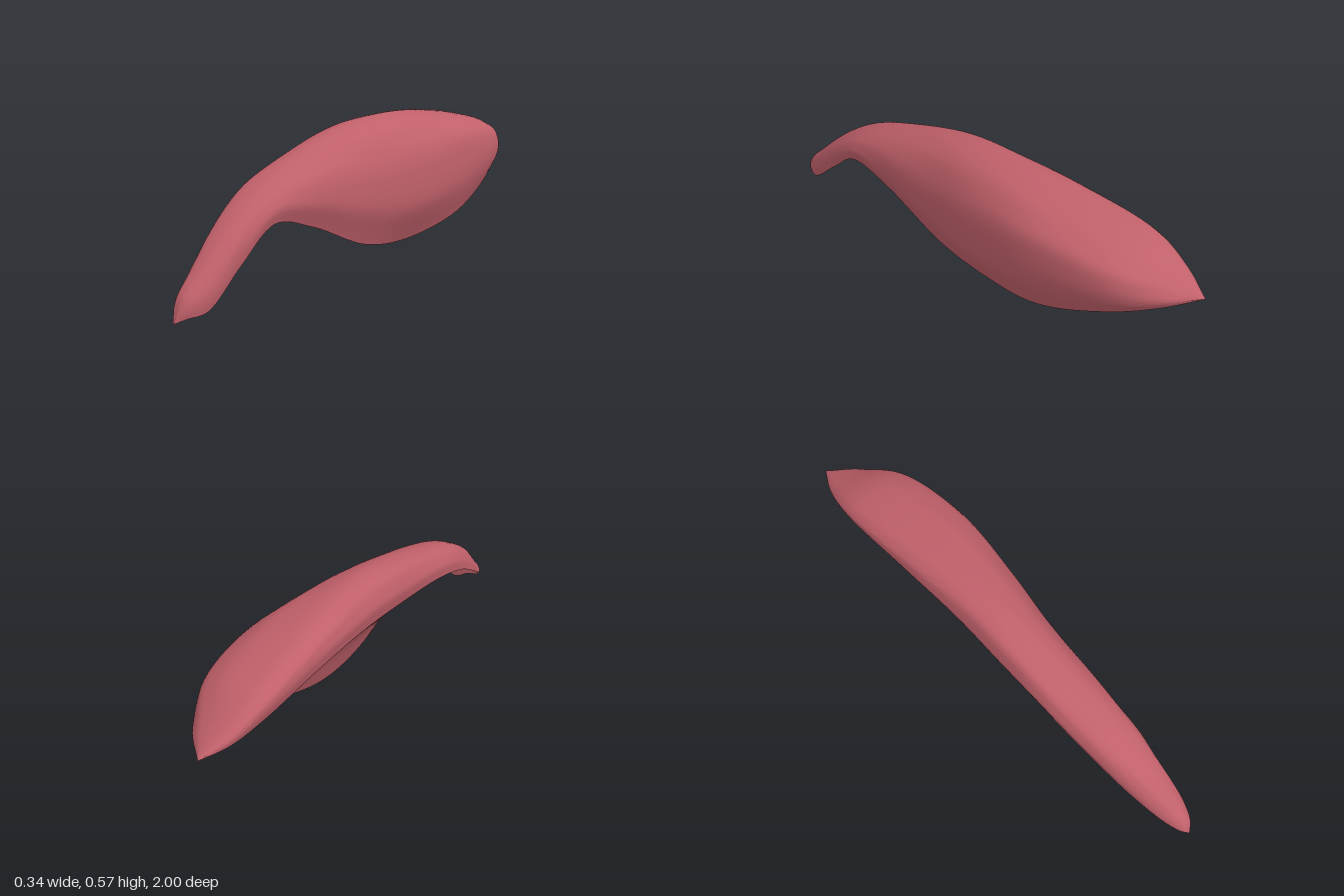
import * as THREE from 'three';
import { toCreasedNormals } from 'three/addons/utils/BufferGeometryUtils.js';

// Cross-sections from front to back: z, then x,y of inner edge, inner wall,
// crest, shoulder, upper flank, lower flank, lower edge
const SECTIONS = [
  [0.9, -0.055, 0.09, -0.046, 0.12, -0.02, 0.148, 0.02, 0.145, 0.052, 0.11, 0.06, 0.07, 0.055, 0.03],
  [0.75, -0.095, 0.19, -0.09, 0.235, -0.055, 0.285, 0.005, 0.285, 0.055, 0.25, 0.065, 0.2, 0.06, 0.155],
  [0.6, -0.12, 0.28, -0.118, 0.33, -0.085, 0.38, -0.01, 0.383, 0.05, 0.355, 0.075, 0.31, 0.065, 0.265],
  [0.4, -0.135, 0.35, -0.138, 0.405, -0.1, 0.455, -0.01, 0.46, 0.065, 0.41, 0.09, 0.31, 0.06, 0.22],
  [0.1, -0.135, 0.39, -0.148, 0.46, -0.11, 0.54, 0.01, 0.535, 0.09, 0.44, 0.115, 0.26, 0.06, 0.1],
  [-0.15, -0.135, 0.41, -0.148, 0.49, -0.105, 0.565, 0.03, 0.558, 0.125, 0.46, 0.145, 0.24, 0.07, 0.08],
  [-0.45, -0.15, 0.425, -0.162, 0.5, -0.128, 0.553, 0.05, 0.545, 0.148, 0.48, 0.165, 0.3, 0.11, 0.15],
  [-0.75, -0.155, 0.415, -0.17, 0.475, -0.145, 0.508, 0.02, 0.503, 0.105, 0.455, 0.115, 0.36, 0.08, 0.285],
  [-0.9, -0.135, 0.4, -0.14, 0.425, -0.122, 0.44, -0.06, 0.44, 0, 0.42, 0.025, 0.385, 0.005, 0.35],
];
const FRONT_TIP = new THREE.Vector3(0.005, 0.004, 1);
const BACK_TIP = new THREE.Vector3(-0.09, 0.39, -1);

const LENGTH_STEPS = 88;
const OUTER_STEPS = 42;
const INNER_STEPS = 18;
const AROUND = OUTER_STEPS + INNER_STEPS;

// Points of one cross-section, ending with the middle of the hollow,
// which is deepest under the narrow front part
function sectionPoints([z, ...outline]) {
  const points = [];
  for (let k = 0; k < outline.length; k += 2) {
    points.push(new THREE.Vector3(outline[k], outline[k + 1], z));
  }
  const inner = points[0];
  const lower = points[points.length - 1];
  const hollow = 0.02 + 0.015 * THREE.MathUtils.smoothstep(z, 0.1, 0.6);
  const sink = new THREE.Vector3(inner.y - lower.y, lower.x - inner.x, 0).setLength(hollow);
  points.push(inner.clone().lerp(lower, 0.5).add(sink));
  return points;
}

// Shrinks a front section point towards the tip, keeping the tip blunt
function bluntPoint(p) {
  const q = p.clone().lerp(FRONT_TIP, 0.45);
  q.z = 0.965;
  return q;
}

// One closed ring: rounded outer side, then the hollow inner side
function makeRing(rails, t) {
  const p = rails.map((rail) => rail.getPoint(t));
  const ring = [];
  if (t === 0 || t === 1) {
    for (let j = 0; j < AROUND; j++) ring.push(p[0]);
    return ring;
  }
  const outer = new THREE.CatmullRomCurve3(p.slice(0, 7));
  const inner = new THREE.CatmullRomCurve3([p[6], p[7], p[0]]);
  const centre = p[7].clone().lerp(p[3], 0.5);
  for (let j = 0; j < OUTER_STEPS; j++) {
    const v = j / OUTER_STEPS;
    // Shallow lengthwise fibres, fading out at both edges
    const fibre = 0.01 * Math.sin(v * 44 + Math.sin(t * 9) * 2) * Math.sin(Math.PI * v);
    ring.push(outer.getPoint(v).lerp(centre, fibre));
  }
  for (let j = 0; j < INNER_STEPS; j++) ring.push(inner.getPoint(j / INNER_STEPS));
  return ring;
}

function loftGeometry() {
  const sections = SECTIONS.map(sectionPoints);
  sections.unshift(sections[0].map(bluntPoint));
  // Lengthwise guide curves, all meeting at the two tips
  const rails = sections[0].map((_, k) =>
    new THREE.CatmullRomCurve3([FRONT_TIP, ...sections.map((s) => s[k]), BACK_TIP]));
  const positions = [];
  const index = [];
  for (let i = 0; i <= LENGTH_STEPS; i++) {
    for (const q of makeRing(rails, i / LENGTH_STEPS)) positions.push(q.x, q.y, q.z);
  }
  for (let i = 0; i < LENGTH_STEPS; i++) {
    for (let j = 0; j < AROUND; j++) {
      const a = i * AROUND + j;
      const b = i * AROUND + ((j + 1) % AROUND);
      // The bands at the tips are fans of single triangles
      if (i > 0) index.push(a, b, a + AROUND);
      if (i < LENGTH_STEPS - 1) index.push(b, b + AROUND, a + AROUND);
    }
  }
  const geometry = new THREE.BufferGeometry();
  geometry.setAttribute('position', new THREE.Float32BufferAttribute(positions, 3));
  geometry.setIndex(index);
  return toCreasedNormals(geometry, Math.PI / 3.5);
}

export function createModel() {
  const group = new THREE.Group();
  group.name = 'muscle';
  const muscleRed = new THREE.MeshStandardMaterial({ color: 0xc0606a });
  muscleRed.name = 'muscle red';
  const belly = new THREE.Mesh(loftGeometry(), muscleRed);
  belly.name = 'muscleBelly';
  group.add(belly);
  return group;
}
